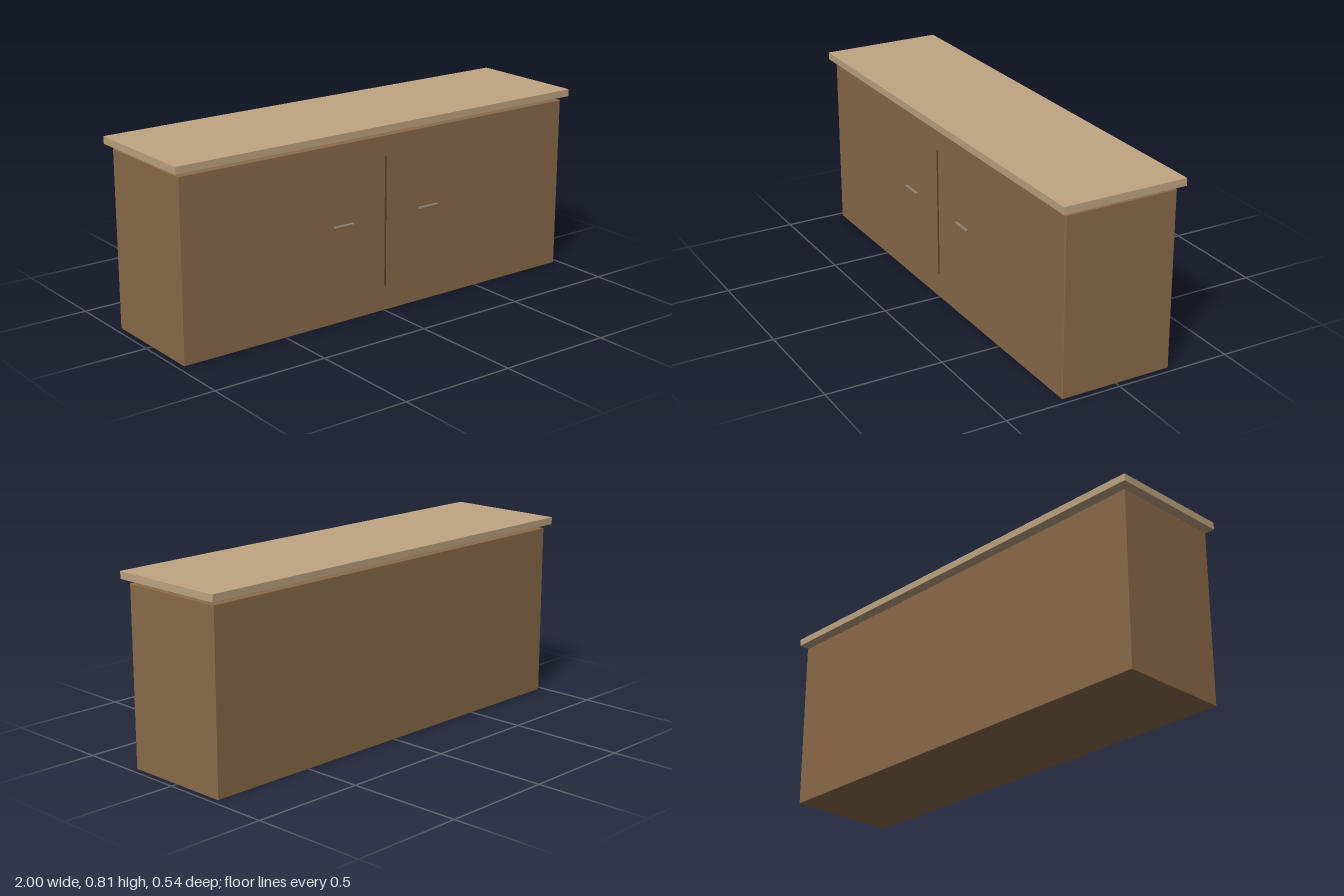
import * as THREE from 'three';
import { RoundedBoxGeometry } from 'three/addons/geometries/RoundedBoxGeometry.js';

export function createModel() {
  const model = new THREE.Group();
  model.name = 'sideboard';

  const material = (name, color) => {
    const m = new THREE.MeshStandardMaterial({ color });
    m.name = name;
    return m;
  };
  const wood = material('brown wood', 0x8b6b4a);
  const top = material('pale wood', 0xbfa582);
  const metal = material('handle metal', 0x8c7d68);
  const dark = material('dark seam', 0x5a4030);

  // Softly rounded box placed by its centre
  const box = (name, mat, size, pos, radius) => {
    const mesh = new THREE.Mesh(new RoundedBoxGeometry(...size, 2, radius), mat);
    mesh.name = name;
    mesh.position.set(...pos);
    model.add(mesh);
  };

  // Cabinet body, with the worktop floating just above it
  box('cabinetBody', wood, [1.95, 0.756, 0.486], [0, 0.378, 0], 0.003);
  box('worktop', top, [2, 0.032, 0.536], [0, 0.789, 0], 0.001);

  // Thin upright seam between the two doors
  box('doorSeam', dark, [0.006, 0.56, 0.006], [0, 0.39, 0.244], 0.001);

  // One bar handle per door
  for (const side of [1, -1]) {
    box(side > 0 ? 'leftHandle' : 'rightHandle', metal,
      [0.097, 0.01, 0.013], [side * 0.219, 0.416, 0.2545], 0.003);
  }

  return model;
}
